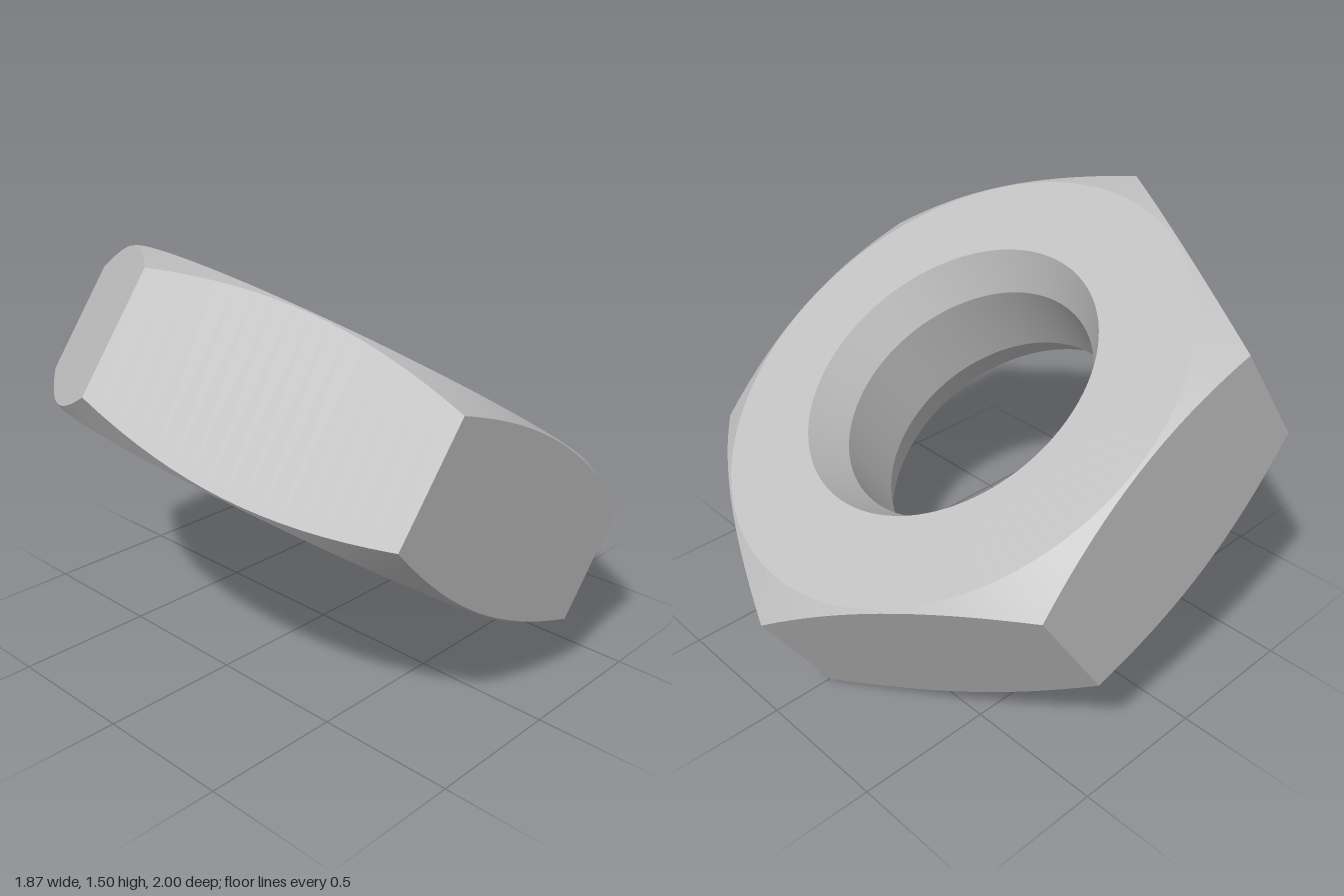
import * as THREE from 'three';
import { toCreasedNormals } from 'three/addons/utils/BufferGeometryUtils.js';

const SEGMENTS = 96; // multiple of six, so the corners fall on segments
const CORNER = 1.052; // centre to hexagon corner
const APOTHEM = CORNER * Math.cos(Math.PI / 6);
const HALF = 0.303; // half thickness
const FLAT = 0.9; // radius of the flat part of each face
const BORE = 0.487, MOUTH = 0.567, BORE_HALF = 0.154;

const steel = new THREE.MeshStandardMaterial({ color: 0xc0c0c0 });
steel.name = 'steel';

// Distance from the axis to the hexagon at a given angle, with a corner at 0
function hexRadius(angle) {
  const sector = Math.PI / 3;
  const a = ((angle % sector) + sector) % sector;
  return APOTHEM / Math.cos(a - sector / 2);
}

// Height of the 30 degree cone that rounds off the corners
const coneHeight = (r) => HALF - (r - FLAT) * Math.tan(Math.PI / 6);

function lathePart(name, profile, shape) {
  const points = profile.map(([r, y]) => new THREE.Vector2(r, y));
  const geometry = new THREE.LatheGeometry(points, SEGMENTS);
  if (shape) shape(geometry.attributes.position);
  const mesh = new THREE.Mesh(toCreasedNormals(geometry, 0.4), steel);
  mesh.name = name;
  return mesh;
}

// Push the outermost rings out to the hexagon and onto the cone
function makeHexagonal(position) {
  for (let i = 0; i < position.count; i++) {
    const x = position.getX(i), y = position.getY(i), z = position.getZ(i);
    if (Math.hypot(x, z) < FLAT + 0.05) continue;
    const angle = Math.atan2(x, z);
    const r = hexRadius(angle);
    position.setXYZ(i, r * Math.sin(angle), Math.sign(y) * coneHeight(r), r * Math.cos(angle));
  }
}

export function createModel() {
  const model = new THREE.Group();
  model.name = 'hexNut';

  // Faces, corner chamfers and the six side walls
  model.add(lathePart('hexBody', [
    [MOUTH, -HALF], [FLAT, -HALF], [CORNER, -0.2], [CORNER, 0.2], [FLAT, HALF], [MOUTH, HALF],
  ], makeHexagonal));

  // Through hole with a countersink at both ends
  model.add(lathePart('bore', [
    [MOUTH, HALF], [BORE, BORE_HALF], [BORE, -BORE_HALF], [MOUTH, -HALF],
  ]));

  // Tilt: the axis leans back and one corner points up to the front
  const axis = new THREE.Vector3(0.083, 0.839, -0.537).normalize();
  const corner = new THREE.Vector3(-0.014, 0.54, 0.841);
  const side = new THREE.Vector3().crossVectors(axis, corner).normalize();
  corner.crossVectors(side, axis);
  model.quaternion.setFromRotationMatrix(new THREE.Matrix4().makeBasis(side, axis, corner));
  model.position.y = 0.752;

  const root = new THREE.Group();
  root.name = 'tiltedNut';
  root.add(model);
  return root;
}
